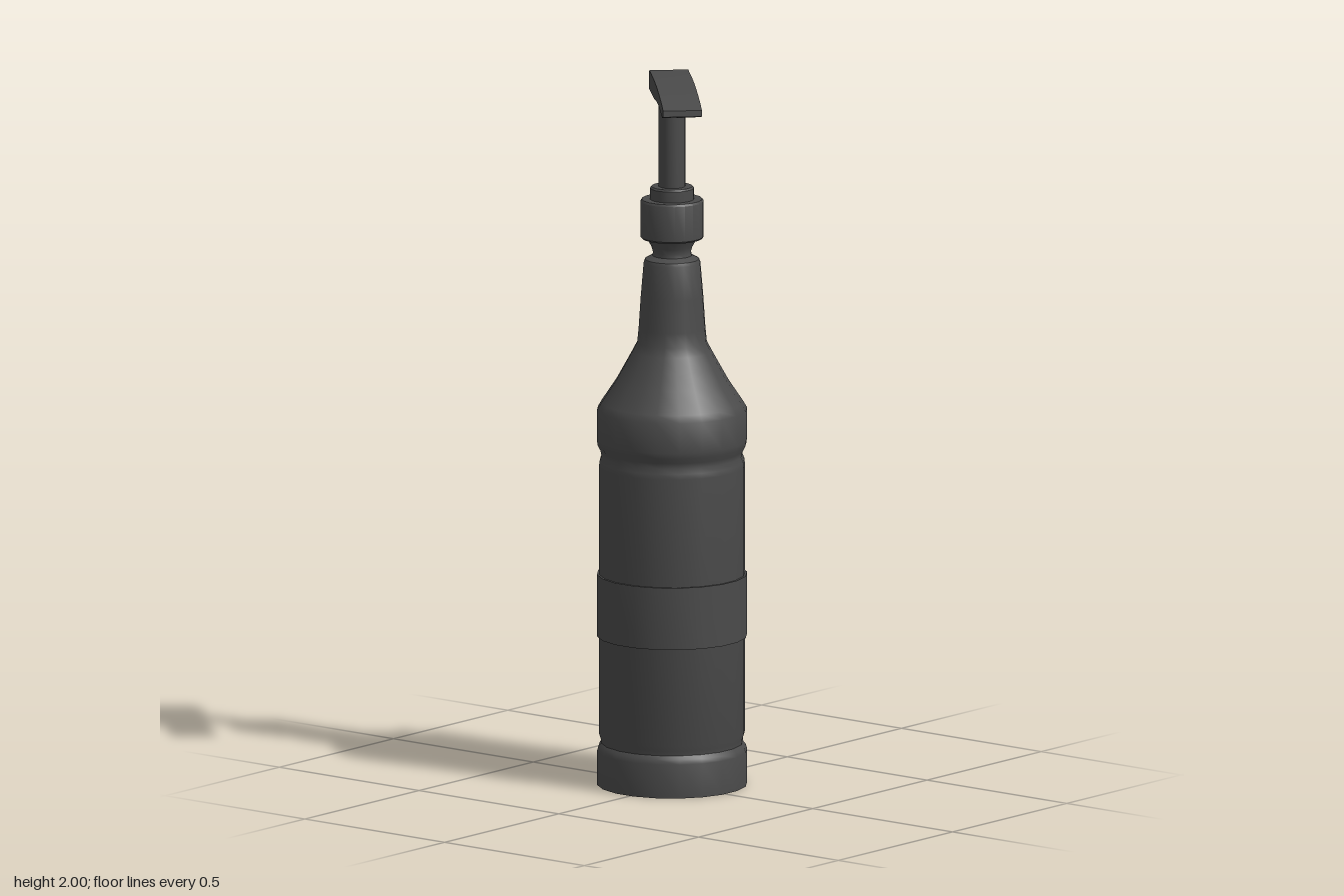
import * as THREE from 'three';
import { toCreasedNormals } from 'three/addons/utils/BufferGeometryUtils.js';

const SIDES = 20;
const material = new THREE.MeshStandardMaterial({ color: 0x4a4a4a });

// Adds a named mesh, smooth except at sharp edges
function add(parent, name, geometry, crease = 0.6) {
  const mesh = new THREE.Mesh(toCreasedNormals(geometry, crease), material);
  mesh.name = name;
  parent.add(mesh);
  return mesh;
}

// Turned part from [radius, height] pairs, bottom to top
function turned(parent, name, profile, crease) {
  const points = profile.map(([r, y]) => new THREE.Vector2(r, y));
  return add(parent, name, new THREE.LatheGeometry(points, SIDES, Math.PI / SIDES), crease);
}

export function createModel() {
  const model = new THREE.Group();
  model.name = 'pumpBottle';

  // Everything turns about the bottle's axis, offset to balance the long spout
  const pump = new THREE.Group();
  pump.name = 'bottleAndPump';
  pump.position.set(-0.02, 0, -0.02);
  model.add(pump);

  // Bottle with a groove above the foot and another below the shoulder
  turned(pump, 'bottle', [
    [0, 0], [0.209, 0], [0.209, 0.095], [0.205, 0.108], [0.197, 0.118], [0.198, 0.13], [0.203, 0.145],
    [0.203, 0.90], [0.202, 0.915], [0.196, 0.93], [0.199, 0.945], [0.207, 0.96],
    [0.209, 0.975], [0.209, 1.06], [0.197, 1.08], [0.157, 1.14], [0.132, 1.185],
    [0.110, 1.225], [0.097, 1.25], [0.093, 1.29], [0.087, 1.38], [0.079, 1.475],
    [0.075, 1.485], [0.055, 1.495], [0.053, 1.505], [0.057, 1.52], [0.068, 1.54], [0, 1.545],
  ], 0.7);

  // Label wrapped round the middle
  turned(pump, 'labelBand', [[0.202, 0.42], [0.209, 0.42], [0.209, 0.595], [0.202, 0.595]]);

  // Screw cap, collar and plunger stem
  turned(pump, 'cap', [
    [0, 1.543], [0.083, 1.543], [0.088, 1.548], [0.088, 1.648], [0.084, 1.654], [0, 1.654],
  ]);
  turned(pump, 'collar', [[0, 1.65], [0.061, 1.65], [0.061, 1.685], [0.057, 1.69], [0, 1.69]]);
  turned(pump, 'stem', [[0.037, 1.68], [0.037, 1.955]]);

  // Pump head: side profile swept across its width, pointing diagonally forward
  const head = new THREE.Group();
  head.name = 'pumpHead';
  head.rotation.y = -Math.PI / 4;
  pump.add(head);

  const side = new THREE.Shape();
  side.moveTo(-0.095, 1.947);
  side.lineTo(0.05, 1.947);
  side.quadraticCurveTo(0.15, 1.963, 0.262, 1.938);
  side.lineTo(0.293, 1.946);
  side.lineTo(0.291, 1.963);
  side.lineTo(0.262, 1.971);
  side.quadraticCurveTo(0.15, 1.994, 0.03, 1.999);
  side.lineTo(-0.09, 2.0);
  side.lineTo(-0.095, 1.996);
  const width = 0.108;
  const spout = new THREE.ExtrudeGeometry(side, { depth: width, bevelEnabled: false, curveSegments: 8 });
  spout.translate(0, 0, -width / 2);
  add(head, 'spout', spout, 0.35);

  // Small outlet under the tip
  const outlet = new THREE.CylinderGeometry(0.014, 0.014, 0.018, 12);
  const tip = add(head, 'outlet', outlet);
  tip.position.set(0.238, 1.943, 0);

  return model;
}
